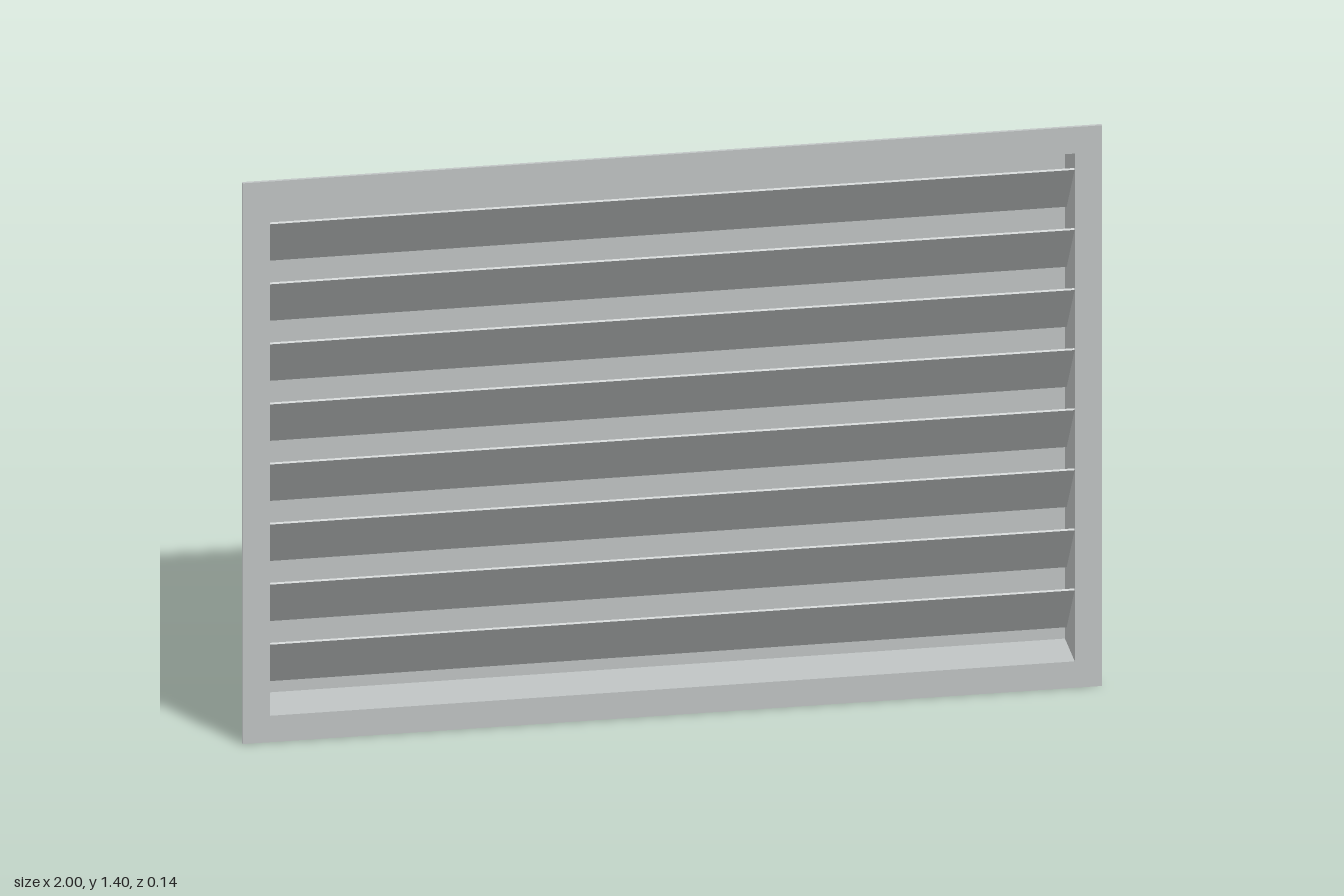
import * as THREE from 'three';

const W = 2, H = 1.4;             // flange size
const SW = 1.885, SH = 1.28;      // sleeve outer size
const WALL = 0.006, MID = H / 2;

// Rectangular ring extruded from z0 to z1
function ring(w, h, iw, ih, z0, z1) {
  const rect = (T, a, b) => {
    const s = new T();
    s.moveTo(-a / 2, -b / 2);
    s.lineTo(a / 2, -b / 2);
    s.lineTo(a / 2, b / 2);
    s.lineTo(-a / 2, b / 2);
    s.closePath();
    return s;
  };
  const shape = rect(THREE.Shape, w, h);
  shape.holes.push(rect(THREE.Path, iw, ih));
  const g = new THREE.ExtrudeGeometry(shape, { depth: z1 - z0, bevelEnabled: false });
  return g.translate(0, MID, z0);
}

export function createModel() {
  const group = new THREE.Group();
  group.name = 'louvreVent';

  const metal = new THREE.MeshStandardMaterial({ color: 0xc0c4c4 });
  metal.name = 'light grey metal';
  const dark = new THREE.MeshStandardMaterial({ color: 0x3a3a3a });
  dark.name = 'dark backing';

  const add = (name, geometry, material, parent = group) => {
    const m = new THREE.Mesh(geometry, material);
    m.name = name;
    parent.add(m);
    return m;
  };

  const iw = SW - 2 * WALL, ih = SH - 2 * WALL;

  // Front flange and the sleeve behind it
  add('frontFlange', ring(W, H, iw, ih, 0.064, 0.072), metal);
  add('sleeve', ring(SW, SH, iw, ih, -0.066, 0.064), metal);

  // Light inner sheet and dark rear panel
  add('innerSheet', new THREE.BoxGeometry(iw, ih, 0.004), metal).position.set(0, MID, -0.064);
  add('rearPanel', new THREE.BoxGeometry(SW - 0.008, SH - 0.008, 0.006), dark).position.set(0, MID, -0.069);

  // Eight slanted blades, high at the front and low at the back
  const blades = new THREE.Group();
  blades.name = 'blades';
  group.add(blades);
  const zF = 0.068, zB = -0.04, drop = 0.138, t = 0.005;
  const length = Math.hypot(zF - zB, drop);
  const bladeGeo = new THREE.BoxGeometry(iw, t, length);
  for (let i = 0; i < 8; i++) {
    const blade = add('blade' + (i + 1), bladeGeo, metal, blades);
    blade.position.set(0, 0.175 + i * 0.15, (zF + zB) / 2);
    blade.rotation.x = -Math.atan2(drop, zF - zB);
  }
  return group;
}
